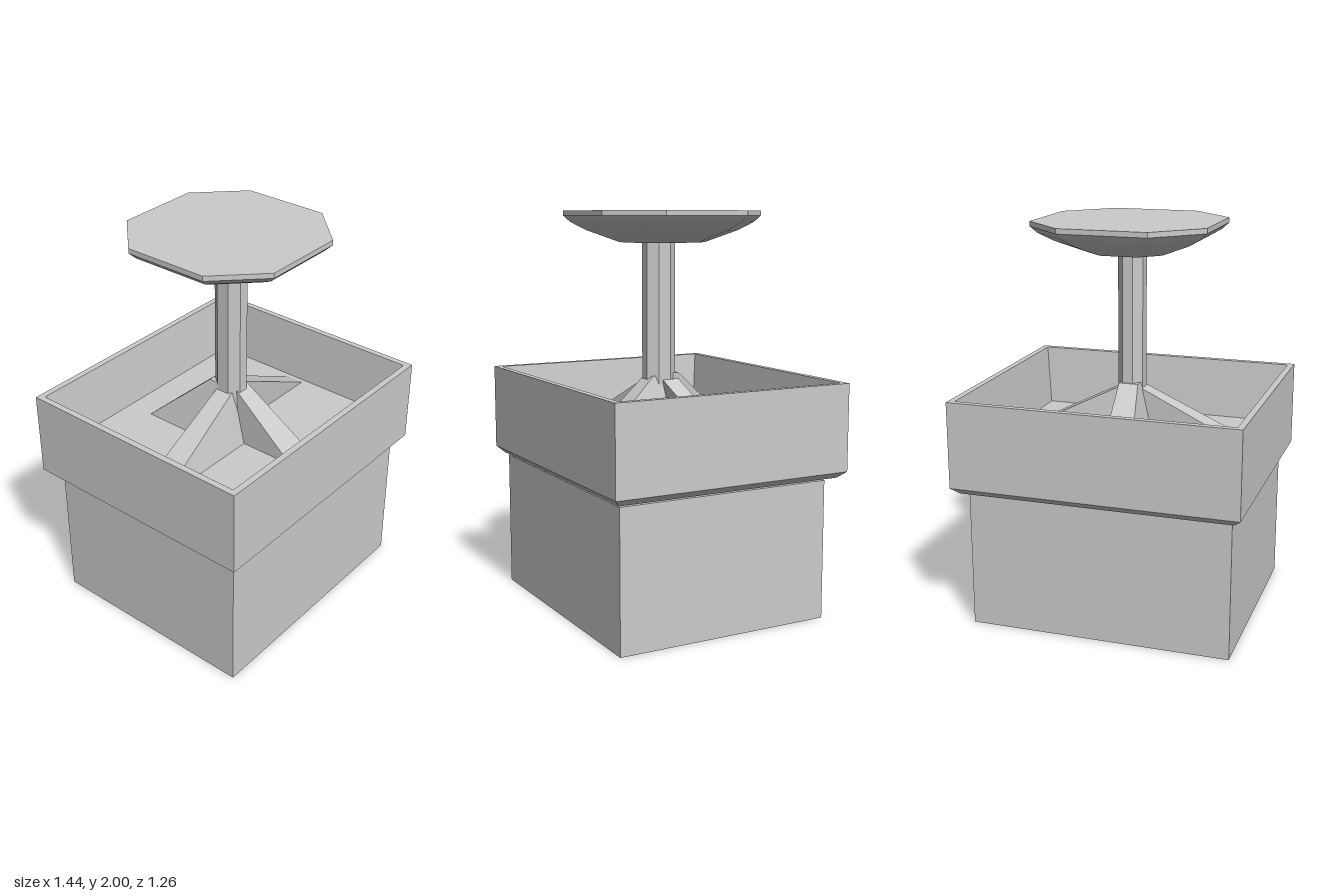
import * as THREE from 'three';

const material = new THREE.MeshStandardMaterial({ color: 0xcccccc, flatShading: true });

// Skin a stack of rings (arrays of [x, y, z], same count, turning from +x to +z) and cap both ends.
function loft(name, rings) {
  const n = rings[0].length;
  const pos = [];
  const tri = (a, b, c) => pos.push(...a, ...b, ...c);
  for (let i = 0; i < rings.length - 1; i++) {
    const a = rings[i], b = rings[i + 1];
    for (let j = 0; j < n; j++) {
      const k = (j + 1) % n;
      tri(a[j], b[j], b[k]);
      tri(a[j], b[k], a[k]);
    }
  }
  const bottom = rings[0], top = rings[rings.length - 1];
  for (let j = 1; j < n - 1; j++) {
    tri(bottom[0], bottom[j], bottom[j + 1]);
    tri(top[0], top[j + 1], top[j]);
  }
  const geometry = new THREE.BufferGeometry();
  geometry.setAttribute('position', new THREE.Float32BufferAttribute(pos, 3));
  geometry.computeVertexNormals();
  const mesh = new THREE.Mesh(geometry, material);
  mesh.name = name;
  return mesh;
}

const rect = (x0, x1, z0, z1, y) => [[x1, y, z0], [x1, y, z1], [x0, y, z1], [x0, y, z0]];

// Square with cut corners, half as long along each side as it is wide.
const octagon = (r, y) => [
  [1, -0.5], [1, 0.5], [0.5, 1], [-0.5, 1], [-1, 0.5], [-1, -0.5], [-0.5, -1], [0.5, -1],
].map(([x, z]) => [x * r, y, z * r]);

export function createModel() {
  const model = new THREE.Group();
  model.name = 'boxWithPlunger';

  // Solid lower box
  model.add(loft('base', [rect(-0.665, 0.66, -0.54, 0.58, 0), rect(-0.665, 0.66, -0.54, 0.58, 0.7)]));

  // Open tray: chamfered foot, outer wall, rim, leaning inner wall, floor
  const tray = [[0.685, 0.595, 0.712], [0.722, 0.63, 0.745], [0.722, 0.63, 1.18], [0.69, 0.598, 1.18], [0.662, 0.57, 0.87]];
  model.add(loft('tray', tray.map(([x, z, y]) => rect(-x, x, -z, z, y))));

  // Tapered braces from the post down to the tray floor
  const braces = [
    ['leftBrace', [0, 0.65, -0.1, 0], [0, 0.06, -0.06, 0.03], 1.16],
    ['rightBrace', [-0.66, 0, -0.01, 0.13], [-0.06, 0, -0.02, 0.07], 1.16],
    ['frontBrace', [-0.03, 0.13, 0, 0.43], [-0.04, 0.05, 0, 0.08], 1.18],
    ['backBrace', [-0.13, 0.03, -0.43, 0], [-0.06, 0.04, -0.07, 0], 1.19],
  ];
  for (const [name, foot, head, top] of braces) {
    model.add(loft(name, [rect(...foot, 0.865), rect(...head, top)]));
  }

  // Faceted post
  const post = new THREE.Mesh(new THREE.CylinderGeometry(1, 1, 1, 8), material);
  post.geometry.rotateY(Math.PI / 8);
  post.scale.set(0.069, 0.99, 0.086);
  post.position.set(-0.003, 1.36, 0.02);
  post.name = 'post';
  model.add(post);

  // Eight-sided dished head with a flat top
  const head = [[0.19, 1.845], [0.34, 1.905], [0.41, 1.945], [0.44, 1.975], [0.44, 2]];
  model.add(loft('head', head.map(([r, y]) => octagon(r, y))));

  return model;
}
